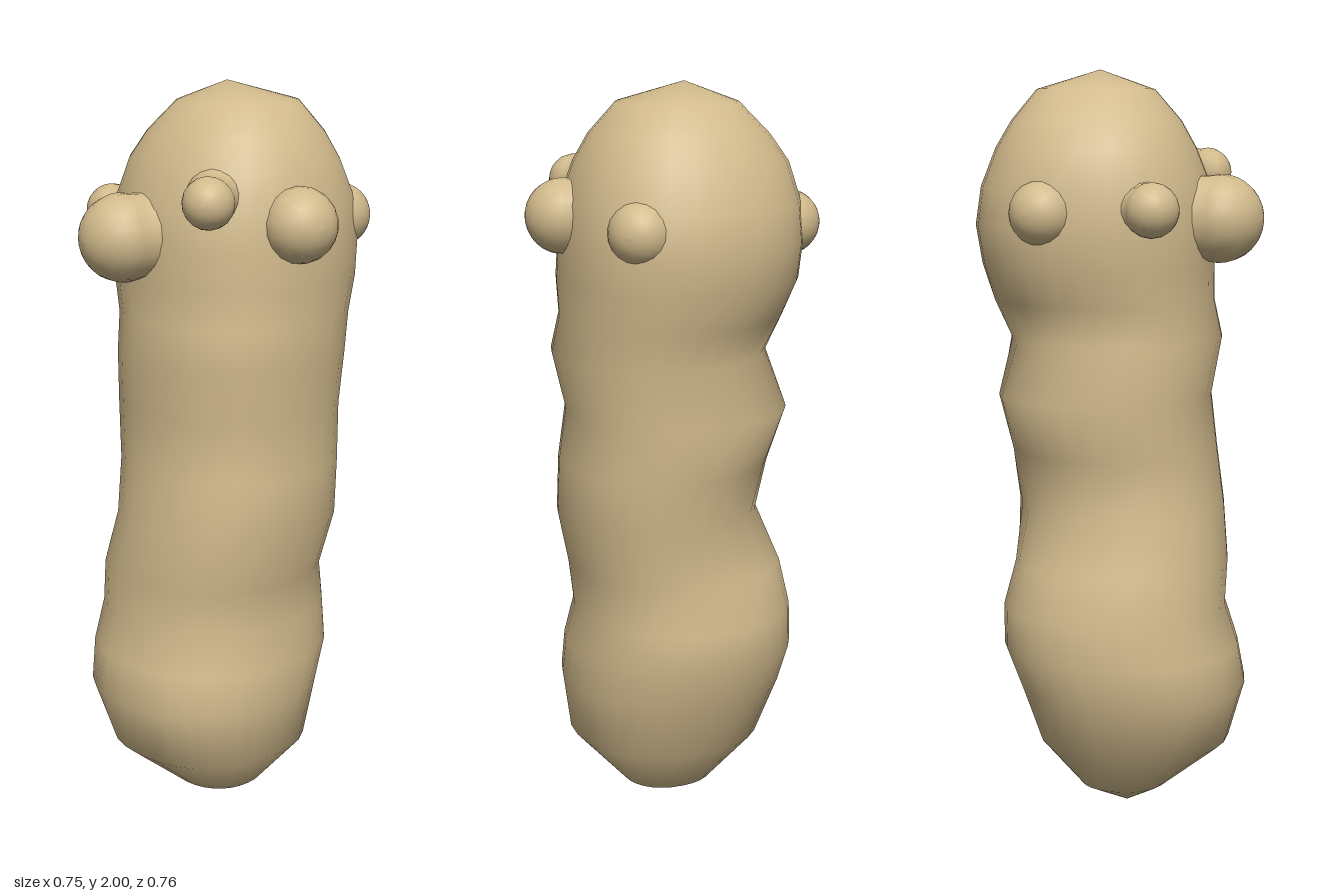
import * as THREE from 'three';
import { mergeVertices } from 'three/addons/utils/BufferGeometryUtils.js';

const SEG = 28;

// Body cross-sections: height, min x, max x, min z, max z
const sections = [
  [0, -0.03, -0.03, 0.02, 0.02], [0.06, -0.14, 0.11, -0.11, 0.13],
  [0.2, -0.28, 0.24, -0.22, 0.30], [0.36, -0.34, 0.26, -0.27, 0.345],
  [0.47, -0.355, 0.26, -0.31, 0.325], [0.58, -0.345, 0.24, -0.31, 0.29],
  [0.7, -0.325, 0.25, -0.28, 0.295], [0.85, -0.285, 0.285, -0.3, 0.28],
  [1.0, -0.29, 0.285, -0.305, 0.26], [1.15, -0.315, 0.27, -0.325, 0.245],
  [1.3, -0.29, 0.3, -0.315, 0.27], [1.4, -0.305, 0.285, -0.345, 0.25],
  [1.5, -0.33, 0.295, -0.365, 0.25], [1.6, -0.335, 0.29, -0.38, 0.25],
  [1.7, -0.33, 0.285, -0.365, 0.24], [1.8, -0.3, 0.25, -0.325, 0.2],
  [1.87, -0.25, 0.21, -0.285, 0.16], [1.95, -0.17, 0.14, -0.22, 0.09],
  [2.0, -0.04, -0.04, -0.05, -0.05],
];

// Soft dents in the back right side: height, depth
const dents = [[0.9, 0.07], [1.31, 0.04]];

function bodyGeometry() {
  const pos = [], index = [];
  const bend = (v) => Math.sign(v) * Math.abs(v) ** (2 / 2.2);
  for (const [y, x0, x1, z0, z1] of sections) {
    for (let j = 0; j < SEG; j++) {
      const a = (j / SEG) * Math.PI * 2;
      const facing = Math.max(0, Math.cos(a - Math.PI * 1.25)) ** 3;
      let k = 1;
      for (const [h, d] of dents) k -= (d / 0.3) * facing * Math.exp(-(((y - h) / 0.1) ** 2));
      pos.push(
        (x0 + x1) / 2 + ((x1 - x0) / 2) * bend(Math.cos(a)) * k, y,
        (z0 + z1) / 2 + ((z1 - z0) / 2) * bend(Math.sin(a)) * k);
    }
  }
  for (let i = 0; i < sections.length - 1; i++) {
    for (let j = 0; j < SEG; j++) {
      const n = (j + 1) % SEG;
      const a = i * SEG + j, b = i * SEG + n;
      index.push(a, a + SEG, b, b, a + SEG, b + SEG);
    }
  }
  const g = new THREE.BufferGeometry();
  g.setAttribute('position', new THREE.Float32BufferAttribute(pos, 3));
  g.setIndex(index);
  const merged = mergeVertices(g, 1e-5);
  merged.computeVertexNormals();
  return merged;
}

// Round knob with a flared base that blends into the body
function knobGeometry(r, flare) {
  const pts = [[flare, -1.0], [(flare + 0.95) / 2, -0.7], [0.95, -0.35]];
  for (let i = 0; i <= 8; i++) {
    const a = (i / 8) * Math.PI / 2;
    pts.push([Math.cos(a), Math.sin(a)]);
  }
  return new THREE.LatheGeometry(pts.map(([x, y]) => new THREE.Vector2(x * r, y * r)), 18);
}

export function createModel() {
  const group = new THREE.Group();
  const tan = new THREE.MeshStandardMaterial({ color: 0xd1ba8c });
  tan.name = 'tan';

  const body = new THREE.Mesh(bodyGeometry(), tan);
  body.name = 'body';
  group.add(body);

  // Knobs around the head: name, centre, radius, flare
  const knobs = [
    ['frontKnob', -0.09, 1.62, 0.27, 0.115, 1.15],
    ['smallFrontKnob', 0.165, 1.73, 0.21, 0.067, 1.15],
    ['leftKnob', 0.275, 1.665, 0, 0.098, 1.4],
    ['rightKnob', -0.305, 1.65, 0.12, 0.07, 1.3],
    ['backRightKnob', -0.285, 1.64, -0.16, 0.085, 1.5],
    ['backLeftKnob', 0.165, 1.65, -0.26, 0.085, 1.5],
  ];
  const up = new THREE.Vector3(0, 1, 0);
  for (const [name, x, y, z, r, flare] of knobs) {
    const knob = new THREE.Mesh(knobGeometry(r, flare), tan);
    knob.name = name;
    knob.position.set(x, y, z);
    const out = new THREE.Vector3(x + 0.02, 0, z + 0.06).normalize();
    knob.quaternion.setFromUnitVectors(up, out);
    group.add(knob);
  }
  return group;
}
